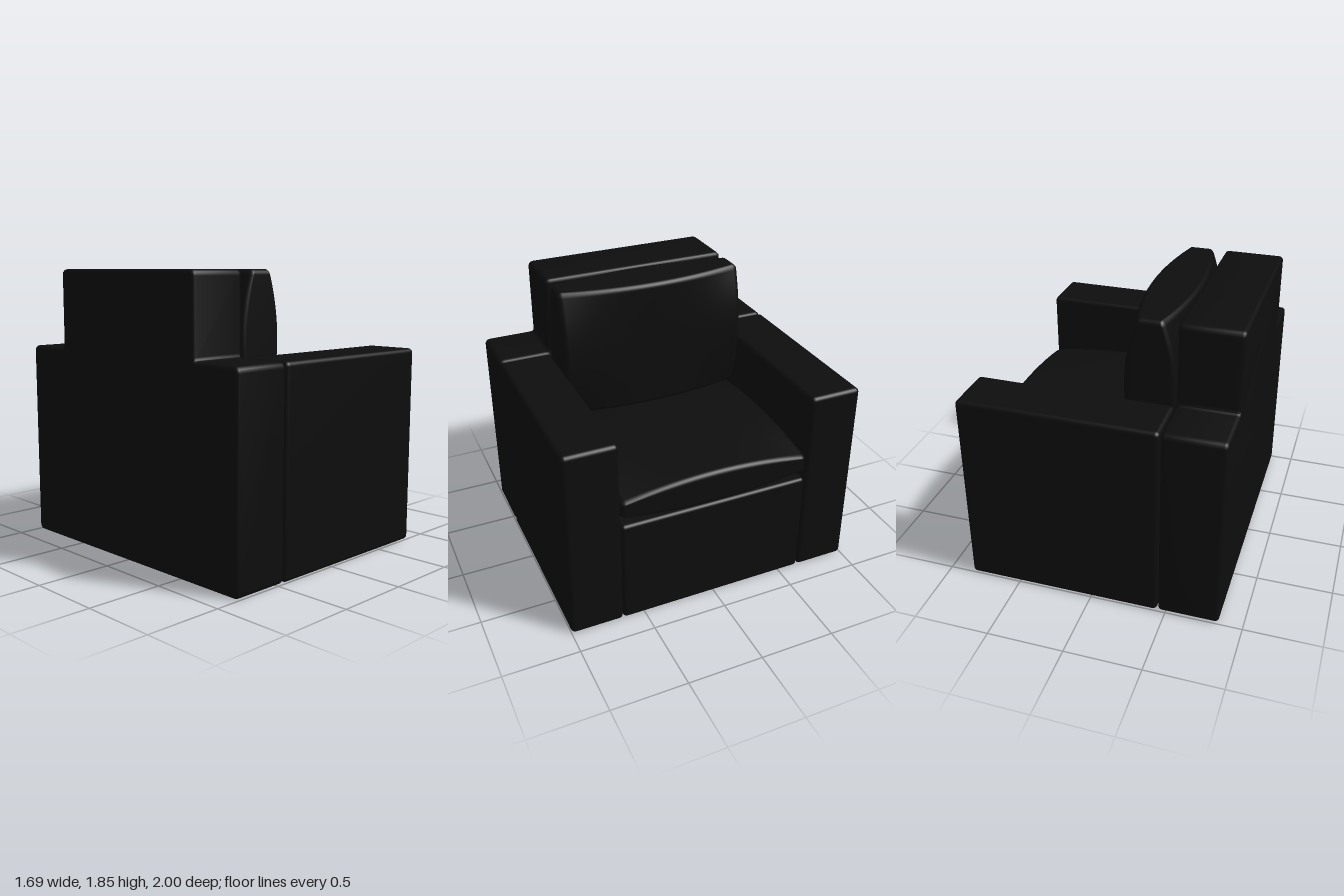
import * as THREE from 'three';
import { mergeVertices, toCreasedNormals } from 'three/addons/utils/BufferGeometryUtils.js';

const N = 24;      // grid divisions per side
const EDGE = 4;    // outer divisions that form the rounded edge

// Maps an even grid coordinate (-1..1) so vertices gather along the rounded edge.
function gridPosition(t, half, r) {
  const i = Math.round(Math.abs(t) * N / 2);
  const flat = N / 2 - EDGE;
  const d = i <= flat
    ? (half - r) * i / flat
    : half - r + r * Math.tan((i - flat) / EDGE * Math.PI / 4);
  return Math.sign(t) * d;
}

// Rounded box between two corners. With a thin axis, the slab
// tapers towards its four corners like a stuffed cushion.
function paddedBox(min, max, r, thinAxis = null, taper = 0) {
  const lo = new THREE.Vector3(...min), hi = new THREE.Vector3(...max);
  const half = hi.clone().sub(lo).multiplyScalar(0.5);
  const centre = hi.clone().add(lo).multiplyScalar(0.5);
  const inner = half.clone().subScalar(r);
  let geo = new THREE.BoxGeometry(2, 2, 2, N, N, N);
  geo.deleteAttribute('normal');
  geo.deleteAttribute('uv');
  geo = mergeVertices(geo);
  const pos = geo.attributes.position;
  const p = new THREE.Vector3(), core = new THREE.Vector3();
  for (let i = 0; i < pos.count; i++) {
    p.fromBufferAttribute(pos, i);
    for (const a of ['x', 'y', 'z']) p[a] = gridPosition(p[a], half[a], r);
    core.copy(p).clamp(inner.clone().negate(), inner);
    p.sub(core).setLength(r).add(core);
    if (thinAxis) {
      let pull = taper;
      for (const a of ['x', 'y', 'z']) if (a !== thinAxis) pull *= (p[a] / half[a]) ** 2;
      p[thinAxis] *= 1 - pull;
    }
    p.add(centre);
    pos.setXYZ(i, p.x, p.y, p.z);
  }
  geo.computeVertexNormals();
  return geo;
}

// Stepped backrest: wide behind the arms, narrower above them.
function backrestGeometry() {
  const b = 0.025, r = 0.014, f = 0.05;
  const w = 1 - b, n = 0.645 - b, low = b, step = 1.325 - b, top = 1.85 - b;
  const s = new THREE.Shape();
  s.moveTo(-w + r, low);
  s.lineTo(w - r, low);
  s.quadraticCurveTo(w, low, w, low + r);
  s.lineTo(w, step - r);
  s.quadraticCurveTo(w, step, w - r, step);
  s.lineTo(n + f, step);
  s.quadraticCurveTo(n, step, n, step + f);
  s.lineTo(n, top - r);
  s.quadraticCurveTo(n, top, n - r, top);
  s.lineTo(-n + r, top);
  s.quadraticCurveTo(-n, top, -n, top - r);
  s.lineTo(-n, step + f);
  s.quadraticCurveTo(-n, step, -n - f, step);
  s.lineTo(-w + r, step);
  s.quadraticCurveTo(-w, step, -w, step - r);
  s.lineTo(-w, low + r);
  s.quadraticCurveTo(-w, low, -w + r, low);
  const geo = new THREE.ExtrudeGeometry(s, {
    depth: 0.395 - 2 * b, bevelEnabled: true, bevelSize: b,
    bevelThickness: b, bevelSegments: 4, curveSegments: 5,
  });
  geo.rotateY(Math.PI / 2);
  geo.translate(-0.845 + b, 0, 0);
  return toCreasedNormals(geo, 0.7);
}

export function createModel() {
  const group = new THREE.Group();
  const leather = new THREE.MeshStandardMaterial({ color: 0x0d0d0d });
  leather.name = 'black leather';

  const add = (name, geo) => {
    const mesh = new THREE.Mesh(geo, leather);
    mesh.name = name;
    group.add(mesh);
  };

  // Frame: the seat opens towards +x
  add('backrest', backrestGeometry());
  add('armNear', paddedBox([-0.443, 0, 0.647], [0.843, 1.325, 1], 0.03));
  add('armFar', paddedBox([-0.443, 0, -1], [0.843, 1.325, -0.647], 0.03));
  add('seatBase', paddedBox([-0.443, 0, -0.645], [0.84, 0.73, 0.645], 0.025));

  // Loose cushions
  add('seatCushion', paddedBox([-0.443, 0.73, -0.643], [0.84, 0.963, 0.643], 0.035, 'y', 0.58));
  add('backCushion', paddedBox([-0.443, 0.963, -0.643], [-0.112, 1.85, 0.643], 0.035, 'x', 0.56));

  return group;
}
